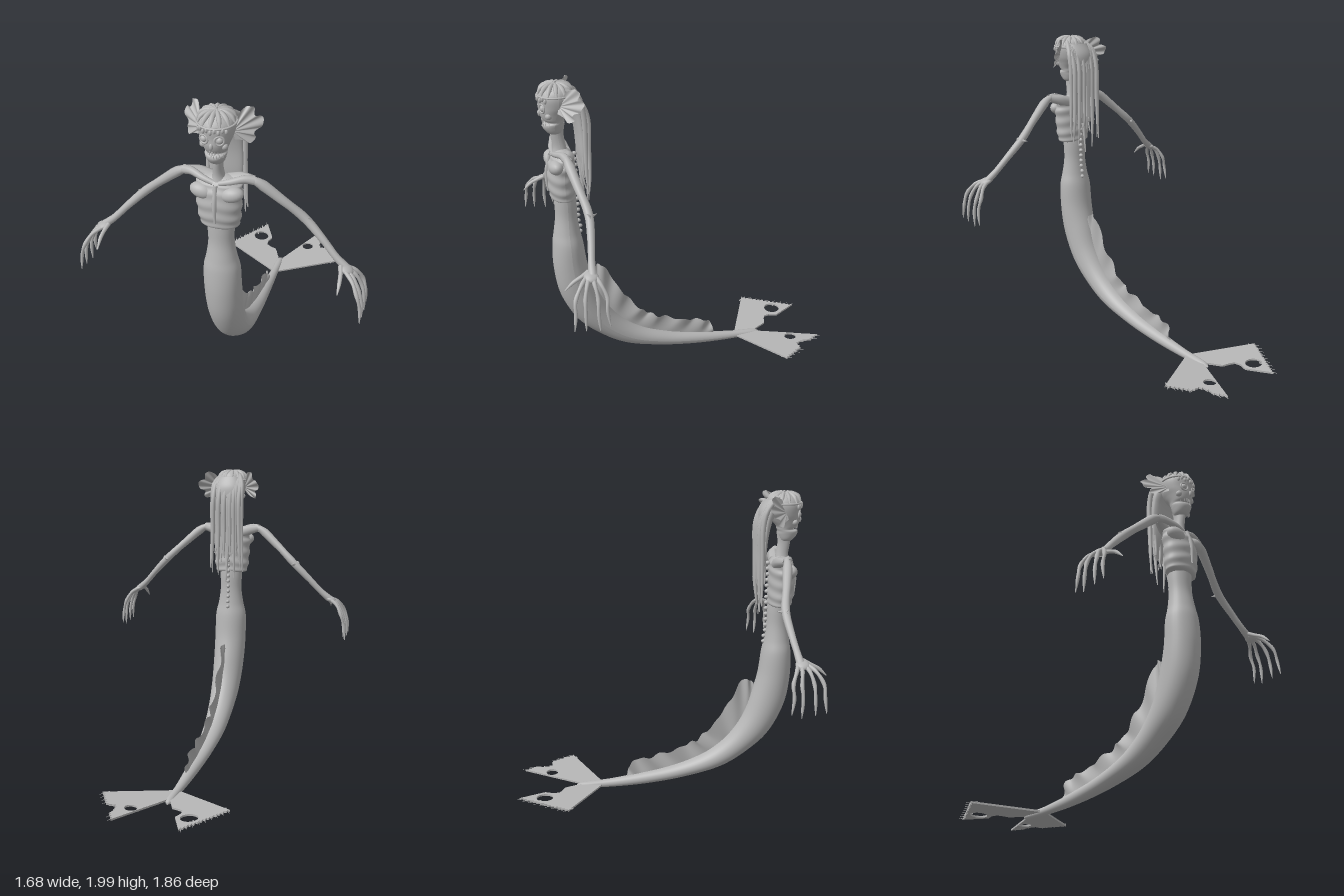
import * as THREE from 'three';

const stone = new THREE.MeshStandardMaterial({ color: 0xb6b6b6, side: THREE.DoubleSide });
stone.name = 'stone grey';
const V = (x, y, z) => new THREE.Vector3(x, y, z);

function add(parent, name, geo, x = 0, y = 0, z = 0) {
  const m = new THREE.Mesh(geo, stone);
  m.name = name;
  m.position.set(x, y, z);
  parent.add(m);
  return m;
}

// Grid of points (rows x cols) turned into a smooth surface
function surface(rows, cols, fn) {
  const pos = [], idx = [];
  for (let i = 0; i <= rows; i++) for (let j = 0; j <= cols; j++) {
    pos.push(...fn(i / rows, j / cols));
    if (i < rows && j < cols) {
      const a = i * (cols + 1) + j, b = a + cols + 1;
      idx.push(a, b, a + 1, b, b + 1, a + 1);
    }
  }
  const g = new THREE.BufferGeometry();
  g.setAttribute('position', new THREE.Float32BufferAttribute(pos, 3));
  g.setIndex(idx);
  g.computeVertexNormals();
  return g;
}

// Elliptical loft; each section is [front y, front z, back y, back z, half width]
function loft(sections, rows = 48, cols = 32, swell = () => 1) {
  const spline = k => new THREE.CatmullRomCurve3(sections.map(s => V(s[k], s[k + 1], s[4])));
  const front = spline(0), back = spline(2);
  return surface(rows, cols, (u, v) => {
    const f = front.getPoint(u), b = back.getPoint(u), a = v * Math.PI * 2;
    const k = swell(u, a), s = Math.sin(a) * k / 2;
    return [Math.cos(a) * f.z * k, (f.x + b.x) / 2 + (f.x - b.x) * s, (f.y + b.y) / 2 + (f.y - b.y) * s];
  });
}
const level = rows => rows.map(([y, f, b, w]) => [y, f, y, b, w]);

// Tube whose radius follows a list of values along its path
function limb(points, radii, seg = 16, sides = 8) {
  const path = new THREE.CatmullRomCurve3(points.map(p => V(...p)));
  const g = new THREE.TubeGeometry(path, seg, 1, sides);
  const p = g.attributes.position, q = V(0, 0, 0);
  for (let k = 0; k < p.count; k++) {
    const u = Math.floor(k / (sides + 1)) / seg, t = u * (radii.length - 1);
    const i = Math.min(Math.floor(t), radii.length - 2);
    const r = THREE.MathUtils.lerp(radii[i], radii[i + 1], t - i), c = path.getPointAt(u);
    q.fromBufferAttribute(p, k).sub(c).multiplyScalar(r).add(c);
    p.setXYZ(k, q.x, q.y, q.z);
  }
  return g;
}

function buildBody(g) {
  add(g, 'tailAndWaist', loft([
    [0.018, -0.545, 0.032, -0.545, 0.008], [0.012, -0.52, 0.045, -0.52, 0.02], [0.012, -0.34, 0.068, -0.33, 0.028],
    [0.035, -0.07, 0.11, -0.1, 0.042], [0.085, 0.2, 0.165, 0.12, 0.058], [0.165, 0.45, 0.255, 0.33, 0.075],
    [0.28, 0.62, 0.37, 0.47, 0.088], [0.4, 0.74, 0.52, 0.57, 0.1], [0.6, 0.84, 0.68, 0.625, 0.108],
    [0.8, 0.872, 0.81, 0.66, 0.111], [0.97, 0.868, 0.97, 0.68, 0.108], [1.05, 0.855, 1.05, 0.695, 0.09],
    [1.15, 0.84, 1.15, 0.705, 0.076], [1.25, 0.84, 1.25, 0.705, 0.078], [1.34, 0.84, 1.34, 0.71, 0.08]], 90));
  // Rib cage with ridges running round it
  add(g, 'ribCage', loft(level([
    [1.27, 0.82, 0.73, 0.07], [1.285, 0.855, 0.71, 0.11], [1.34, 0.868, 0.705, 0.122], [1.42, 0.872, 0.705, 0.128],
    [1.5, 0.865, 0.705, 0.135], [1.55, 0.845, 0.71, 0.125], [1.58, 0.82, 0.735, 0.09], [1.595, 0.8, 0.76, 0.03]]),
    70, 40, (u, a) => 1 + 0.03 * Math.sin(u * 44 + 2 * Math.abs(Math.cos(a))) * (u < 0.72 ? 1 : 0)));
  add(g, 'breastbone', limb([[0, 1.56, 0.845], [0, 1.45, 0.872], [0, 1.33, 0.872]], [0.012, 0.014, 0.006]));
  add(g, 'neck', loft(level([
    [1.55, 0.835, 0.735, 0.05], [1.6, 0.825, 0.745, 0.033], [1.68, 0.835, 0.755, 0.028], [1.75, 0.84, 0.745, 0.035]])));
  for (let i = 0; i < 15; i++) {
    const y = 1.03 + i * 0.037;
    const m = add(g, 'spineKnob', new THREE.SphereGeometry(0.016, 10, 8), 0, y, 0.701 - (y < 1.08 ? 0.008 : 0));
    m.scale.set(0.8, 0.8, 1.1);
  }
  // Rippled fin along the back of the tail
  const root = new THREE.CatmullRomCurve3([[0.7, 0.65], [0.52, 0.58], [0.37, 0.48], [0.25, 0.34], [0.16, 0.12],
    [0.105, -0.1], [0.08, -0.21]].map(p => V(0, ...p)));
  const rim = new THREE.CatmullRomCurve3([[0.745, 0.635], [0.77, 0.575], [0.57, 0.456], [0.38, 0.31], [0.305, 0.19],
    [0.23, -0.02], [0.19, -0.17], [0.08, -0.21]].map(p => V(0, ...p)));
  add(g, 'backFin', surface(100, 6, (u, v) => {
    const a = root.getPoint(u), b = rim.getPoint(u);
    b.y += 0.009 * Math.sin(u * 75) * Math.sin(u * Math.PI);
    a.lerp(b, v);
    return [0.012 * v * Math.sin(u * 48), a.y, a.z];
  }));
}

// One fluke; outline is in x and depth, bites cut the rim
function buildFluke(g, side, hole, bite, onRim) {
  const rimA = new THREE.Vector2(0.415, 0.585), rimB = new THREE.Vector2(0.21, 0.91), inner = new THREE.Vector2(0.015, 0.53);
  const pts = [new THREE.Vector2(0, 0.36)];
  const edge = (a, b, n, jag, cut) => {
    for (let i = 0; i < n; i++) {
      const p = a.clone().lerp(b, i / n);
      const d = p.distanceTo(bite);
      if (cut && d < 0.05) p.sub(bite).multiplyScalar(-0.045 / Math.max(d, 0.02)).add(bite);
      else if (i % 2) p.multiplyScalar(1 - jag);
      pts.push(p);
    }
  };
  edge(rimA, rimB, 28, 0.022, false);
  edge(rimB, inner, 12, 0.005, false);
  pts.push(inner);
  // Push rim points near the bite inwards
  const heart = new THREE.Vector2(0.2, 0.62);
  pts.forEach(p => {
    const d = p.distanceTo(bite);
    if (d < 0.05) p.add(heart.clone().sub(bite).setLength(0.055 * Math.sqrt(1 - (d / 0.05) ** 2)));
  });
  const shape = new THREE.Shape(pts);
  const h = new THREE.Path();
  h.absarc(hole[0], hole[1], hole[2], 0, Math.PI * 2, true);
  shape.holes.push(h);
  const geo = new THREE.ExtrudeGeometry(shape, { depth: 0.012, bevelEnabled: false, curveSegments: 20 });
  geo.rotateX(-Math.PI / 2);
  const p = geo.attributes.position;
  const lift = x => 0.028 + 0.055 * x;
  for (let k = 0; k < p.count; k++) p.setY(k, p.getY(k) + lift(p.getX(k)));
  geo.computeVertexNormals();
  const fluke = new THREE.Group();
  fluke.name = onRim ? 'leftFluke' : 'rightFluke';
  fluke.scale.x = side;
  add(fluke, 'flukeWeb', geo);
  // Bare spines poking past the ragged rim
  for (let i = 0; i < 9; i++) {
    const q = rimA.clone().lerp(rimB, 0.04 + i * 0.115);
    if (q.distanceTo(bite) < 0.05) continue;
    const e = q.clone().multiplyScalar(1.035), s = q.clone().multiplyScalar(0.93), y = lift(q.x) + 0.006;
    add(fluke, 'flukeSpine', limb([[s.x, y, -s.y], [q.x, y, -q.y], [e.x, y, -e.y]], [0.005, 0.003, 0.001], 4, 5));
  }
  g.add(fluke);
}

function buildArm(side) {
  const arm = new THREE.Group();
  arm.name = side > 0 ? 'leftArm' : 'rightArm';
  arm.scale.x = side;
  add(arm, 'collarbone', limb([[0.015, 1.565, 0.83], [0.08, 1.582, 0.82], [0.15, 1.597, 0.795], [0.2, 1.59, 0.78]],
    [0.014, 0.018, 0.022, 0.028]));
  add(arm, 'shoulderBlade', limb([[0.05, 1.55, 0.75], [0.12, 1.575, 0.755], [0.19, 1.59, 0.775]], [0.04, 0.035, 0.024]));
  add(arm, 'upperAndLowerArm', limb([[0.16, 1.598, 0.785], [0.215, 1.582, 0.78], [0.34, 1.48, 0.755], [0.47, 1.36, 0.728],
    [0.58, 1.25, 0.745], [0.66, 1.165, 0.765], [0.72, 1.115, 0.775]],
    [0.016, 0.03, 0.027, 0.024, 0.026, 0.024, 0.021, 0.02, 0.024], 40, 12));
  add(arm, 'elbowSpur', new THREE.ConeGeometry(0.022, 0.07, 8), 0.475, 1.355, 0.708).rotation.set(-Math.PI / 2, 0, 0.5);
  const palm = add(arm, 'palm', new THREE.SphereGeometry(0.04, 14, 10), 0.725, 1.112, 0.785);
  palm.scale.set(1, 0.5, 1.05);
  palm.rotation.z = -0.4;
  // Four long curled fingers and a forward thumb
  [[0.725, 0.85], [0.775, 0.83], [0.845, 0.845], [0.9, 0.855]].forEach(([z, y], i) => {
    const k = 0.762 + i * 0.016;
    add(arm, 'finger', limb([[0.72, 1.115, k], [0.77, 1.085, (k + z) / 2], [0.808, 1.02, z - 0.005], [0.828, 0.95, z],
      [0.835, y, z + (i - 1.5) * 0.008]], [0.012, 0.013, 0.01, 0.013, 0.009, 0.011, 0.008, 0.002], 22));
  });
  add(arm, 'thumb', limb([[0.69, 1.13, 0.79], [0.7, 1.11, 0.83], [0.705, 1.085, 0.88], [0.705, 1.04, 0.93]],
    [0.014, 0.012, 0.011, 0.003]));
  // Shrunken breast flap
  const flap = add(arm, 'chestFlap', new THREE.SphereGeometry(1, 20, 14), 0.083, 1.505, 0.825);
  flap.scale.set(0.07, 0.045, 0.046);
  flap.rotation.z = 0.2;
  return arm;
}

function buildHead() {
  const head = new THREE.Group();
  head.name = 'head';
  add(head, 'skull', loft(level([
    [1.685, 0.83, 0.775, 0.02], [1.7, 0.852, 0.765, 0.042], [1.735, 0.876, 0.752, 0.056], [1.753, 0.874, 0.75, 0.06],
    [1.765, 0.856, 0.745, 0.058], [1.782, 0.874, 0.74, 0.064], [1.82, 0.888, 0.71, 0.078], [1.86, 0.888, 0.69, 0.094],
    [1.92, 0.89, 0.68, 0.103], [1.96, 0.868, 0.69, 0.088], [1.983, 0.84, 0.715, 0.058], [1.993, 0.79, 0.775, 0.008]]), 70));
  for (let i = -3; i <= 3; i++) {
    const z = 0.875 - i * i * 0.0035;
    add(head, 'upperTooth', new THREE.ConeGeometry(0.006, 0.026, 6), i * 0.014, 1.772, z).rotation.x = Math.PI;
    add(head, 'lowerTooth', new THREE.ConeGeometry(0.006, 0.022, 6), i * 0.014 + 0.006, 1.755, z);
  }
  add(head, 'nose', new THREE.SphereGeometry(0.014, 10, 8), 0, 1.822, 0.888).scale.set(0.8, 1.4, 0.8);
  for (const s of [-1, 1]) {
    add(head, 'eyeball', new THREE.SphereGeometry(0.021, 16, 12), s * 0.042, 1.858, 0.868);
    add(head, 'eyeSocket', new THREE.TorusGeometry(0.025, 0.006, 8, 20), s * 0.042, 1.858, 0.877).rotation.y = s * 0.35;
    add(head, 'cheekbone', new THREE.SphereGeometry(0.02, 12, 8), s * 0.058, 1.812, 0.845);
    // Scalloped ear fin sweeping out and back
    const rim = [[0.1, 1.94], [0.115, 1.97], [0.145, 1.985], [0.168, 1.975], [0.175, 1.935], [0.2, 1.925], [0.218, 1.9],
      [0.212, 1.868], [0.182, 1.85], [0.19, 1.825], [0.178, 1.802], [0.15, 1.81], [0.1, 1.835]];
    const curve = new THREE.CatmullRomCurve3(rim.map(([x, y]) => V(x, y, 0.82 - (x - 0.08) * 0.85 - (y - 1.82) * 0.4)));
    add(head, 'earFin', surface(60, 6, (u, v) => {
      const p = V(0.085, 1.875, 0.79).lerp(curve.getPoint(u), v);
      return [s * p.x, p.y, p.z + 0.008 * v * Math.sin(u * 38)];
    }));
  }
  // Circlet with hanging drops
  const band = add(head, 'circlet', new THREE.TorusGeometry(0.106, 0.006, 8, 40), 0, 1.928, 0.787);
  band.rotation.x = Math.PI / 2;
  for (let i = -4; i <= 4; i++) {
    const a = i * 0.2;
    add(head, 'circletDrop', new THREE.SphereGeometry(0.009, 8, 8), Math.sin(a) * 0.107, 1.914 + (i % 2 ? 0.004 : -0.006),
      0.787 + Math.cos(a) * 0.107).scale.y = 1.7;
  }
  return head;
}

function buildHair() {
  const hair = new THREE.Group();
  hair.name = 'hair';
  add(hair, 'hairMass', loft(level([
    [1.42, 0.66, 0.64, 0.07], [1.55, 0.68, 0.638, 0.095], [1.7, 0.69, 0.635, 0.1], [1.8, 0.71, 0.63, 0.1],
    [1.88, 0.74, 0.635, 0.095], [1.95, 0.75, 0.67, 0.07]])));
  for (let i = 0; i < 17; i++) {
    const x = (i - 8) * 0.0132, end = 1.2 + 0.24 * Math.abs(Math.sin(i * 2.3 + 0.4)), z = 0.645 + 0.016 * Math.sin(i * 4.1);
    add(hair, 'longLock', limb([[x * 0.6, 1.965, 0.74], [x * 0.95, 1.9, 0.672], [x, 1.8, z], [x * 1.02, 1.6, z],
      [x * 1.08, 1.42, z + 0.003], [x * 1.12, end, 0.648]], [0.016, 0.017, 0.016, 0.014, 0.01, 0.003], 20, 7));
  }
  // Short wavy locks lying over the crown of the head
  for (let i = 0; i < 13; i++) {
    const a = i / 13 * Math.PI * 2, s = Math.sin(a), c = Math.cos(a);
    add(hair, 'crownLock', limb([[s * 0.01, 1.988, 0.787 + c * 0.01], [s * 0.055, 1.982, 0.787 + c * 0.055],
      [s * 0.086, 1.962, 0.787 + c * 0.086], [s * 0.102, 1.935, 0.787 + c * 0.102]], [0.008, 0.013, 0.015, 0.005], 10, 7));
  }
  return hair;
}

export function createModel() {
  const model = new THREE.Group();
  model.name = 'skeletalMermaid';
  buildBody(model);
  buildFluke(model, 1, [0.165, 0.72, 0.04], new THREE.Vector2(0.285, 0.785), true);
  buildFluke(model, -1, [0.214, 0.745, 0.054], new THREE.Vector2(0.1, 0.69), false);
  model.add(buildArm(1), buildArm(-1), buildHead(), buildHair());
  return model;
}
